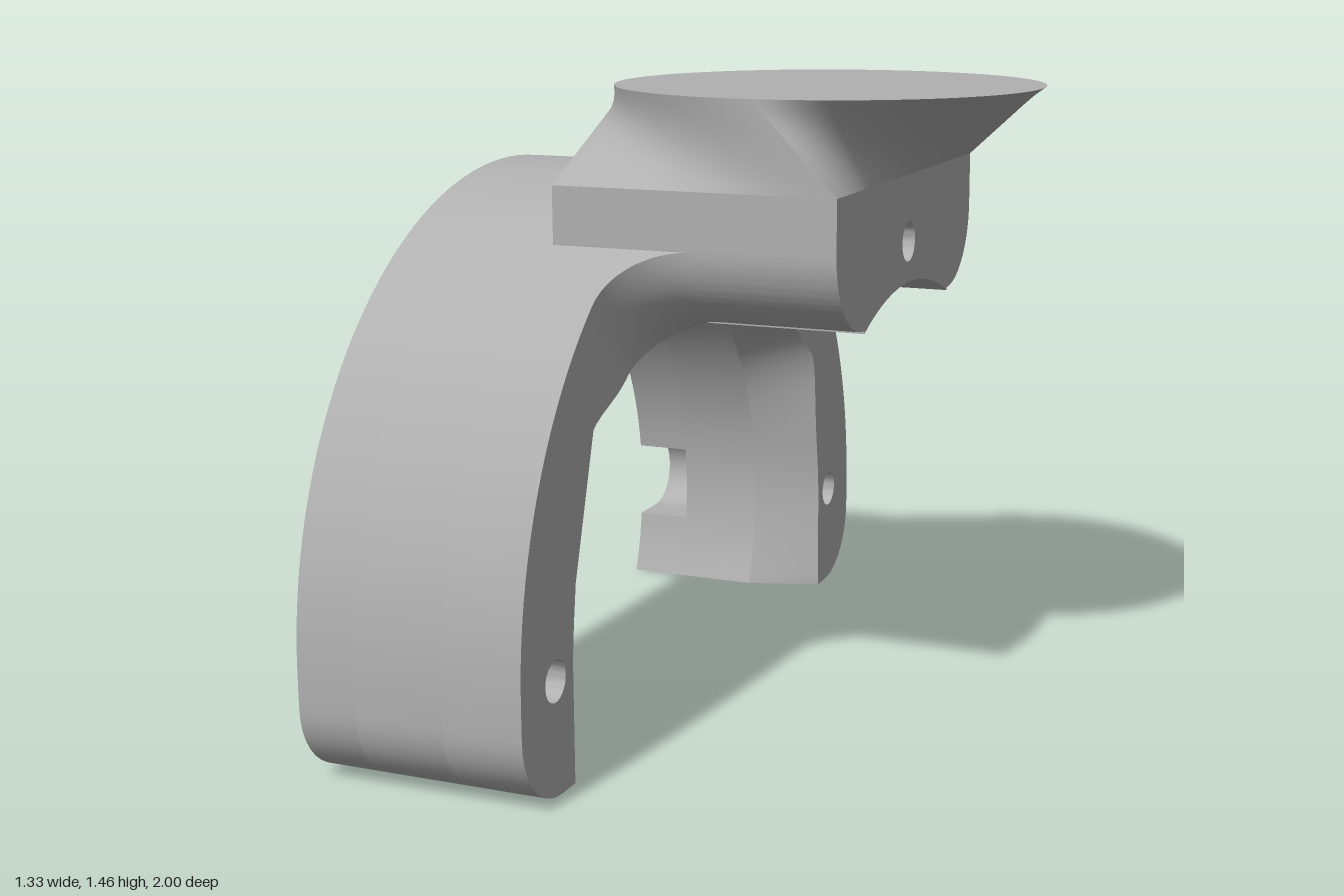
import * as THREE from 'three';
import { toCreasedNormals } from 'three/addons/utils/BufferGeometryUtils.js';

const CY = 0.26, OUTER = 1, INNER = 0.75;   // arch circles, centred on (z 0, y CY)
const BOLT = 0.845, HOLE = 0.047, SLOT = 0.1;
const BOLT_ANGLES = [0, Math.PI / 2, Math.PI];
const BACK = -0.67, FRONT = -0.135;

const onCircle = (r, a) => new THREE.Vector2(r * Math.cos(a), CY + r * Math.sin(a));
const circleHole = (a) => {
  const p = onCircle(BOLT, a);
  return new THREE.Path().absarc(p.x, p.y, HOLE, 0, Math.PI * 2, true);
};

// Extrudes a (z, y) shape along x
function slab(shape, x0, x1) {
  const g = new THREE.ExtrudeGeometry(shape, { depth: x1 - x0, bevelEnabled: false, curveSegments: 20 });
  return g.rotateY(Math.PI / 2).translate(x0, 0, 0);
}

// Horseshoe outline, with either open bolt-head slots or round bolt holes
function archShape(slots) {
  const pts = [], corner = 0.18, low = Math.asin(CY / INNER);
  const foot = (s, a) => pts.push(new THREE.Vector2(s * (1 - corner + corner * Math.cos(a)), corner - corner * Math.sin(a)));
  for (let i = 0; i <= 10; i++) foot(-1, (Math.PI / 2) * (1 - i / 10));
  for (let i = 0; i <= 72; i++) pts.push(onCircle(OUTER, Math.PI * (1 - i / 72)));
  for (let i = 0; i <= 10; i++) foot(1, (Math.PI / 2) * (i / 10));
  const half = Math.asin(SLOT / INNER);
  const innerArc = (a, b) => {
    const n = Math.max(2, Math.ceil((b - a) / 0.045));
    for (let i = 0; i <= n; i++) pts.push(onCircle(INNER, a + (b - a) * i / n));
  };
  let from = -low;
  if (slots) for (const a of BOLT_ANGLES) {
    innerArc(from, a - half);
    for (let i = 0; i <= 14; i++) {
      const w = Math.PI * (i / 14 - 0.5), c = onCircle(BOLT, a);
      pts.push(new THREE.Vector2(c.x + SLOT * Math.cos(a + w), c.y + SLOT * Math.sin(a + w)));
    }
    from = a + half;
  }
  innerArc(from, Math.PI + low);
  const shape = new THREE.Shape(pts);
  if (!slots) shape.holes = BOLT_ANGLES.map(circleHole);
  return shape;
}

// Relieves the inner edge of the front face, most strongly at the shoulders
function relieveInnerEdge(g) {
  const p = g.attributes.position;
  for (let i = 0; i < p.count; i++) {
    const y = p.getY(i), z = p.getZ(i), r = Math.hypot(z, y - CY);
    if (p.getX(i) < -0.2 || Math.abs(r - INNER) > 0.003 || y > 0.84) continue;
    if (y < CY) p.setZ(i, Math.sign(z) * 0.763);
    else {
      const t = (y - CY) / (0.84 - CY);
      const k = 1 + (0.013 * (1 - t) + 0.075 * Math.sin(Math.PI * t * t) ** 2) / r;
      p.setXYZ(i, p.getX(i), CY + (y - CY) * k, z * k);
    }
  }
  return g;
}

// Surface through rows of points, all rows the same length
function loft(rows, flip = false) {
  const pos = rows.flat().flatMap((v) => [v.x, v.y, v.z]), idx = [], n = rows[0].length;
  for (let j = 0; j < rows.length - 1; j++) for (let i = 0; i < n - 1; i++) {
    const a = j * n + i, b = a + 1, c = a + n, d = c + 1;
    idx.push(...(flip ? [a, c, b, b, c, d] : [a, b, c, b, d, c]));
  }
  const g = new THREE.BufferGeometry();
  g.setAttribute('position', new THREE.Float32BufferAttribute(pos, 3));
  g.setIndex(idx);
  g.computeVertexNormals();
  return g;
}

// Concave fillet joining the block's rounded side to the arch
function filletRows(side) {
  const cz = 0.31, cy = 1.135, R = 0.165, rows = [];
  for (let j = 0; j <= 14; j++) {
    const t = (Math.PI / 2) * j / 14, x = 0.03 - R * Math.sin(t), r = 0.185 + R * (1 - Math.cos(t));
    const at = (a) => new THREE.Vector2(cz + r * Math.cos(a), cy + r * Math.sin(a));
    const meet = (target) => {
      let lo = -1.9, hi = 1.2;
      for (let k = 0; k < 40; k++) {
        const m = (lo + hi) / 2, q = at(m);
        if (Math.hypot(q.x, q.y - CY) < target) lo = m; else hi = m;
      }
      return lo;
    };
    const a0 = meet(OUTER), a1 = meet(INNER), row = [];
    const polar = (q) => Math.atan2(q.y - CY, q.x);
    const p0 = polar(at(a0)), p1 = polar(at(a1));
    for (let i = 0; i < 8; i++) row.push(onCircle(OUTER, THREE.MathUtils.lerp(1.1, p0, i / 8)));
    for (let i = 0; i <= 18; i++) row.push(at(a0 + (a1 - a0) * i / 18));
    for (let i = 1; i <= 8; i++) row.push(onCircle(INNER, THREE.MathUtils.lerp(p1, 1.17, i / 8)));
    rows.push(row.map((q) => new THREE.Vector3(x, q.y, side * q.x)));
  }
  return rows;
}

export function createModel() {
  const model = new THREE.Group();
  const grey = new THREE.MeshStandardMaterial({ color: 0xb0b0b0, side: THREE.DoubleSide });
  grey.name = 'plain grey';
  const add = (name, g, parent = model) => {
    const m = new THREE.Mesh(g, grey);
    m.name = name;
    parent.add(m);
  };

  // Arch: slotted back, drilled middle, relieved front
  const arch = new THREE.Group();
  arch.name = 'arch';
  model.add(arch);
  add('slottedBack', toCreasedNormals(slab(archShape(true), BACK, BACK + 0.14), 0.5), arch);
  add('drilledMiddle', toCreasedNormals(slab(archShape(false), BACK + 0.14, -0.32), 0.5), arch);
  add('relievedFront', toCreasedNormals(relieveInnerEdge(slab(archShape(false), -0.32, FRONT)), 0.5), arch);

  // Block: rounded lower corners and a hollow underside following the arch
  const w = 0.495, top = 1.26, r = 0.185, cy = 1.135;
  const block = new THREE.Shape();
  block.moveTo(-w, top);
  block.lineTo(-w, cy);
  block.absarc(-w + r, cy, r, Math.PI, Math.PI * 1.5, false);
  const a = Math.acos(0.31 / INNER);
  block.absarc(0, CY, INNER, Math.PI - a, a, true);
  block.absarc(w - r, cy, r, -Math.PI / 2, 0, false);
  block.lineTo(w, top);
  block.holes = [circleHole(Math.PI / 2)];
  add('block', toCreasedNormals(slab(block, -0.3, 0.36), 0.5));

  for (const s of [1, -1]) add(s > 0 ? 'frontFillet' : 'backFillet', toCreasedNormals(loft(filletRows(s), s > 0), 0.6));

  // Neck: twisted ruled transition from the block's rectangle to the round plate
  const neck = new THREE.Group();
  neck.name = 'neck';
  model.add(neck);
  const corners = [[0.36, -w], [0.36, w], [-0.3, w], [-0.3, -w]];
  corners.forEach(([x0, z0], k) => {
    const [x1, z1] = corners[(k + 1) % 4], rows = [];
    for (let j = 0; j <= 10; j++) {
      const v = j / 10, row = [];
      for (let i = 0; i <= 24; i++) {
        const t = i / 24, ang = (Math.PI / 2) * (k + t);
        const low = new THREE.Vector3(x0 + (x1 - x0) * t, top, z0 + (z1 - z0) * t);
        row.push(low.lerp(new THREE.Vector3(0.165 + w * Math.cos(ang), 1.46, w * Math.sin(ang)), v));
      }
      rows.push(row);
    }
    add('neckSide' + (k + 1), loft(rows, true), neck);
  });
  add('roundTop', new THREE.CircleGeometry(w, 96).rotateX(-Math.PI / 2).translate(0.165, 1.46, 0));
  return model;
}
